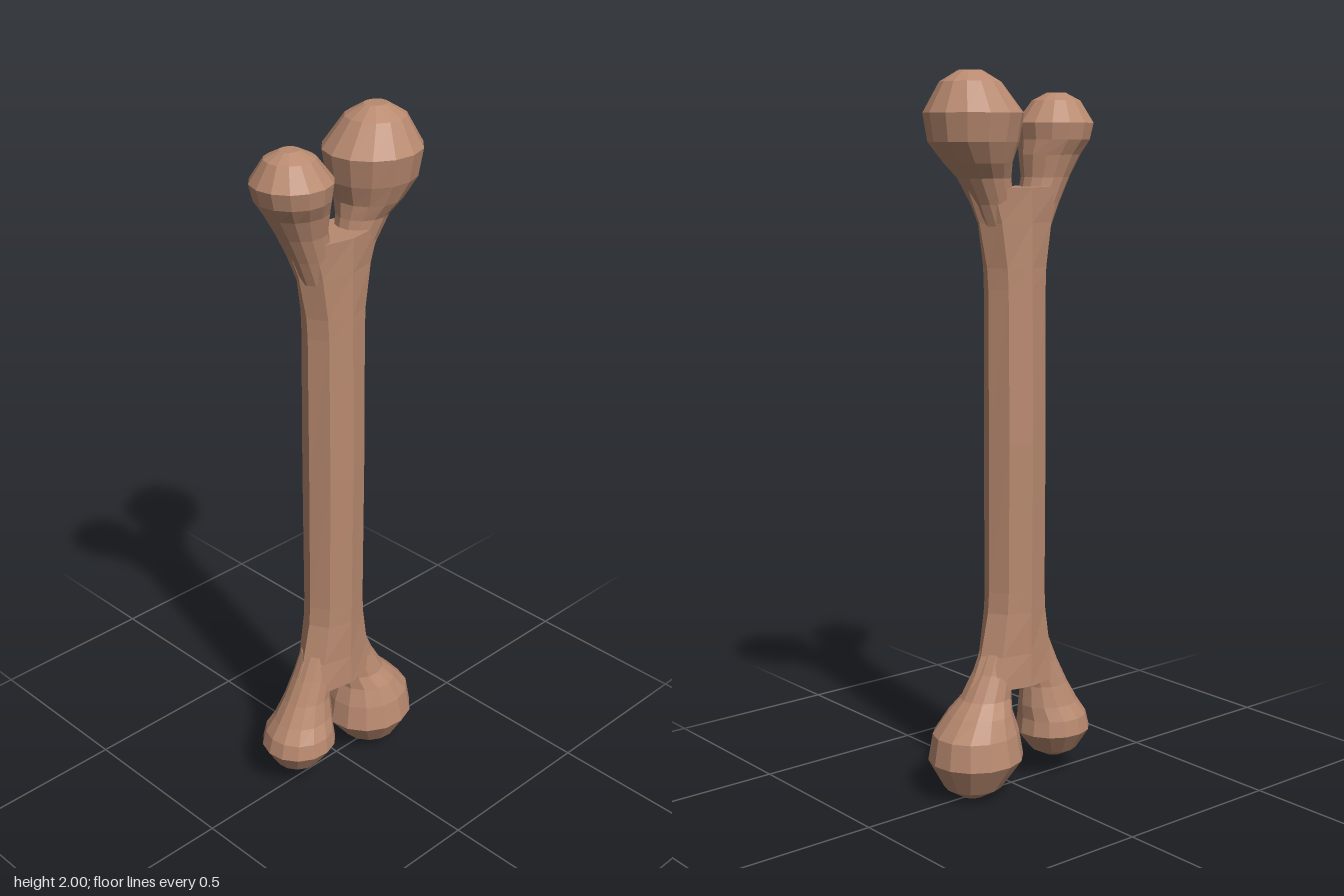
import * as THREE from 'three';

const boneTan = new THREE.MeshStandardMaterial({ color: 0xb98a70, flatShading: true });
boneTan.name = 'boneTan';

// Lofts closed elliptical rings, listed bottom to top as [y, centreZ, radiusX, radiusZ]
function loft(name, rings, sides, turn) {
  const pos = [], index = [];
  for (const [y, cz, rx, rz] of rings) {
    for (let i = 0; i < sides; i++) {
      const a = turn + (i / sides) * Math.PI * 2;
      pos.push(Math.cos(a) * rx, y, cz + Math.sin(a) * rz);
    }
  }
  for (let r = 0; r < rings.length - 1; r++) {
    for (let i = 0; i < sides; i++) {
      const j = (i + 1) % sides, a = r * sides, b = a + sides;
      index.push(a + i, b + i, a + j, a + j, b + i, b + j);
    }
  }
  // flat end caps
  const last = (rings.length - 1) * sides;
  for (let i = 1; i < sides - 1; i++) {
    index.push(0, i, i + 1, last, last + i + 1, last + i);
  }
  const geo = new THREE.BufferGeometry();
  geo.setAttribute('position', new THREE.Float32BufferAttribute(pos, 3));
  geo.setIndex(index);
  const flat = geo.toNonIndexed();
  flat.computeVertexNormals();
  const mesh = new THREE.Mesh(flat, boneTan);
  mesh.name = name;
  return mesh;
}

// Reflects a ring list about mid-height, keeping bottom-to-top order
const flip = rings => rings.map(([y, ...rest]) => [2 - y, ...rest]).reverse();

export function createModel() {
  const bone = new THREE.Group();
  bone.name = 'bone';

  // Shaft: octagonal, flaring towards both forks
  const upperShaft = [
    [1.0, 0.012, 0.079, 0.092],
    [1.42, 0.012, 0.075, 0.093],
    [1.48, 0.012, 0.074, 0.097],
    [1.6, 0.012, 0.073, 0.123],
    [1.695, 0.011, 0.075, 0.162],
  ];
  bone.add(loft('shaft', [...flip(upperShaft).slice(0, -1), ...upperShaft], 8, 0));

  // Knobs with necks rising out of the fork
  const frontKnob = [
    [1.58, 0.07, 0.05, 0.055],
    [1.65, 0.095, 0.056, 0.06],
    [1.72, 0.121, 0.064, 0.07],
    [1.78, 0.137, 0.08, 0.09],
    [1.82, 0.152, 0.1, 0.101],
    [1.865, 0.155, 0.107, 0.11],
    [1.925, 0.16, 0.066, 0.068],
    [1.946, 0.16, 0.026, 0.027],
  ];
  const backKnob = [
    [1.58, -0.04, 0.05, 0.055],
    [1.65, -0.066, 0.056, 0.06],
    [1.72, -0.094, 0.07, 0.074],
    [1.76, -0.115, 0.094, 0.092],
    [1.815, -0.13, 0.117, 0.125],
    [1.89, -0.13, 0.131, 0.137],
    [1.97, -0.14, 0.081, 0.083],
    [2.0, -0.14, 0.03, 0.033],
  ];
  bone.add(loft('upperFrontKnob', frontKnob, 14, -0.13));
  bone.add(loft('upperBackKnob', backKnob, 14, -0.13));
  bone.add(loft('lowerFrontKnob', flip(frontKnob), 14, -0.13));
  bone.add(loft('lowerBackKnob', flip(backKnob), 14, -0.13));

  return bone;
}
